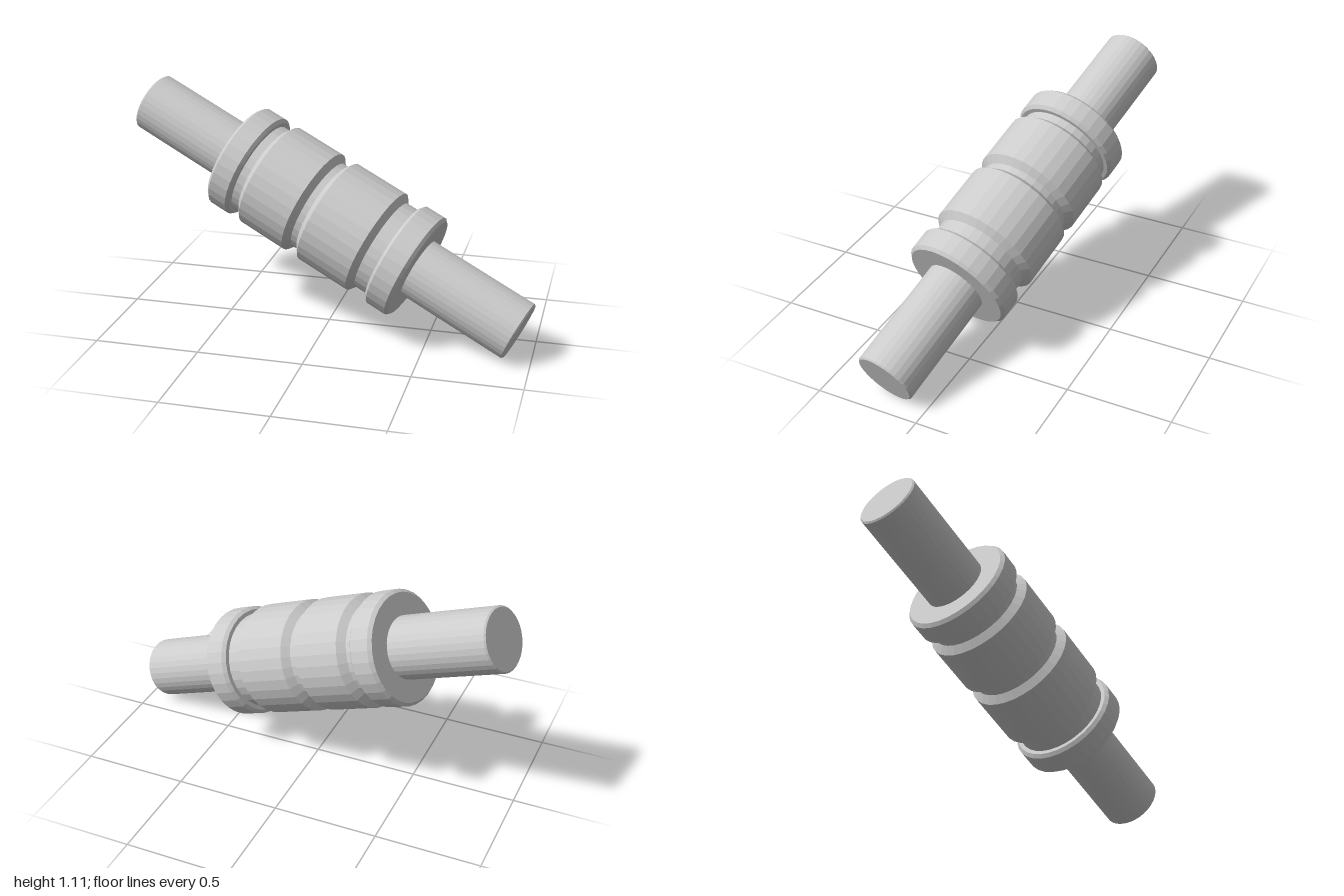
import * as THREE from 'three';

const SIDES = 32;
const material = new THREE.MeshStandardMaterial({ color: 0xcccccc, flatShading: true });

// Closed turned part from [radius, position along axis] pairs
function turned(name, profile) {
  const points = profile.map(([r, t]) => new THREE.Vector2(r, t));
  const mesh = new THREE.Mesh(new THREE.LatheGeometry(points, SIDES), material);
  mesh.name = name;
  return mesh;
}

// Solid disc from t0 to t1, chamfered c0 (depth, length) at its start and c1 at its end
function collar(name, r, t0, t1, c0, c1) {
  return turned(name, [
    [0, t0], [r - c0[0], t0], [r, t0 + c0[1]],
    [r, t1 - c1[1]], [r - c1[0], t1], [0, t1],
  ]);
}

export function createModel() {
  const model = new THREE.Group();
  model.name = 'grooved roller';

  const small = [0.012, 0.012];
  const flange = [0.015, 0.015];
  const bevel = [0.035, 0.028];
  const R = 0.264;

  // Through shaft and the core seen at the bottom of the grooves
  model.add(collar('shaft', 0.145, -1.047, 1.047, [0.007, 0.007], [0.007, 0.007]));
  model.add(collar('grooveCore', 0.229, -0.5, 0.48, small, small));

  // End flanges
  model.add(collar('upperFlange', R, -0.53, -0.405, flange, flange));
  model.add(collar('lowerFlange', R, 0.37, 0.5, flange, flange));

  // Two roller sections with bevelled rims
  model.add(collar('upperRoller', R, -0.365, -0.062, bevel, bevel));
  model.add(collar('lowerRoller', R, -0.03, 0.298, bevel, bevel));

  // Tilt the axis down towards the front left
  const axis = new THREE.Vector3(0.895, -0.408, 0.182).normalize();
  model.quaternion.setFromUnitVectors(new THREE.Vector3(0, 1, 0), axis);
  model.position.y = 0.558;

  const root = new THREE.Group();
  root.name = 'tiltedRoller';
  root.add(model);
  return root;
}
